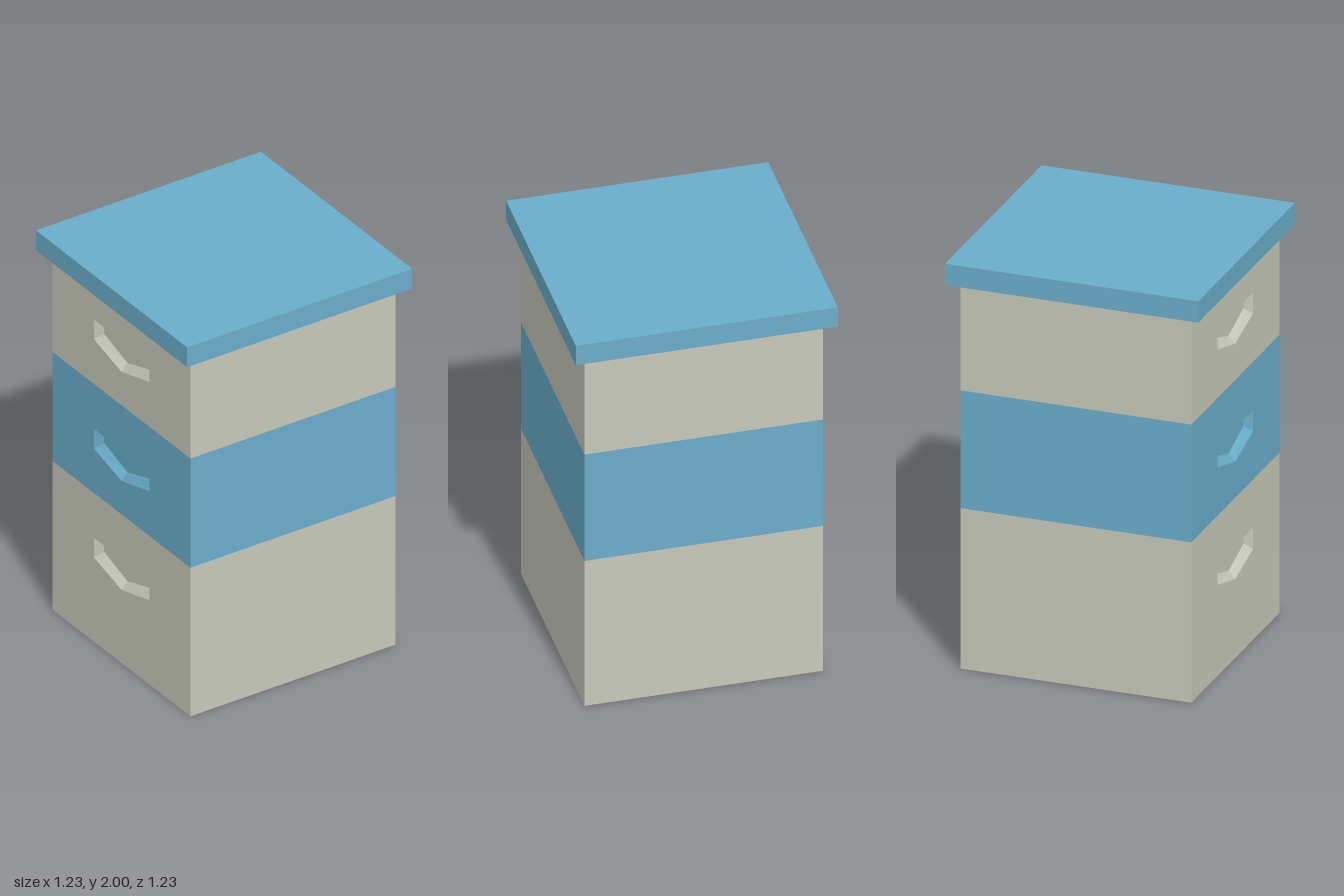
import * as THREE from 'three';

const HALF = 0.558, LID_HALF = 0.613;
const cream = new THREE.MeshStandardMaterial({ color: 0xc6c9ba, flatShading: true, side: THREE.DoubleSide });
const blue = new THREE.MeshStandardMaterial({ color: 0x6aadca, flatShading: true, side: THREE.DoubleSide });

// hand grip outline (counter-clockwise), relative to its top edge
const gripOuter = [[-0.225, -0.103], [0, -0.163], [0.225, -0.103], [0.225, 0], [-0.225, 0]];
const gripInner = [[-0.19, -0.069], [0, -0.128], [0.19, -0.069], [0.19, -0.035], [-0.19, -0.035]];
const GRIP_DEPTH = 0.033;

function addMesh(parent, name, geometry, material) {
  const mesh = new THREE.Mesh(geometry, material);
  mesh.name = name;
  parent.add(mesh);
  return mesh;
}

// thin upright wall facing the given angle about y
function addWall(parent, name, half, y0, y1, angle, material) {
  const geo = new THREE.PlaneGeometry(2 * half, y1 - y0).translate(0, (y0 + y1) / 2, half).rotateY(angle);
  return addMesh(parent, name, geo, material);
}

// bevelled pocket: sloping sides and a flat back
function gripGeometry(top) {
  const points = [
    ...gripOuter.map(([u, v]) => [u, top + v, 0]),
    ...gripInner.map(([u, v]) => [u, top + v, -GRIP_DEPTH]),
  ];
  const n = gripOuter.length;
  const index = [];
  for (let i = 0; i < n; i++) {
    const j = (i + 1) % n;
    index.push(i, j, n + j, i, n + j, n + i);
    if (i > 0 && i < n - 1) index.push(n, n + i, n + i + 1);
  }
  let geo = new THREE.BufferGeometry();
  geo.setAttribute('position', new THREE.Float32BufferAttribute(points.flat(), 3));
  geo.setIndex(index);
  geo = geo.toNonIndexed();
  geo.computeVertexNormals();
  return geo;
}

// open box with three plain walls and one wall with a hand grip
function hiveBox(name, y0, y1, gripTop, material) {
  const box = new THREE.Group();
  box.name = name;
  addWall(box, 'frontWall', HALF, y0, y1, 0, material);
  addWall(box, 'leftWall', HALF, y0, y1, Math.PI / 2, material);
  addWall(box, 'backWall', HALF, y0, y1, Math.PI, material);

  const shape = new THREE.Shape([[-HALF, y0], [HALF, y0], [HALF, y1], [-HALF, y1]].map(p => new THREE.Vector2(...p)));
  shape.holes.push(new THREE.Path(gripOuter.map(([u, v]) => new THREE.Vector2(u, gripTop + v))));
  const place = geo => geo.translate(0, 0, HALF).rotateY(-Math.PI / 2);
  addMesh(box, 'gripWall', place(new THREE.ShapeGeometry(shape)), material);
  addMesh(box, 'handGrip', place(gripGeometry(gripTop)), material);
  return box;
}

export function createModel() {
  const hive = new THREE.Group();
  hive.name = 'beehive';
  hive.add(hiveBox('lowerBox', 0, 0.787, 0.55, cream));
  hive.add(hiveBox('middleBox', 0.787, 1.365, 1.127, blue));
  hive.add(hiveBox('upperBox', 1.365, 1.943, 1.705, cream));

  // overhanging cap, open underneath
  const lid = new THREE.Group();
  lid.name = 'lid';
  for (let i = 0; i < 4; i++) addWall(lid, 'lidSide', LID_HALF, 1.895, 2, i * Math.PI / 2, blue);
  addMesh(lid, 'lidTop', new THREE.PlaneGeometry(2 * LID_HALF, 2 * LID_HALF).rotateX(-Math.PI / 2).translate(0, 2, 0), blue);
  hive.add(lid);
  return hive;
}
